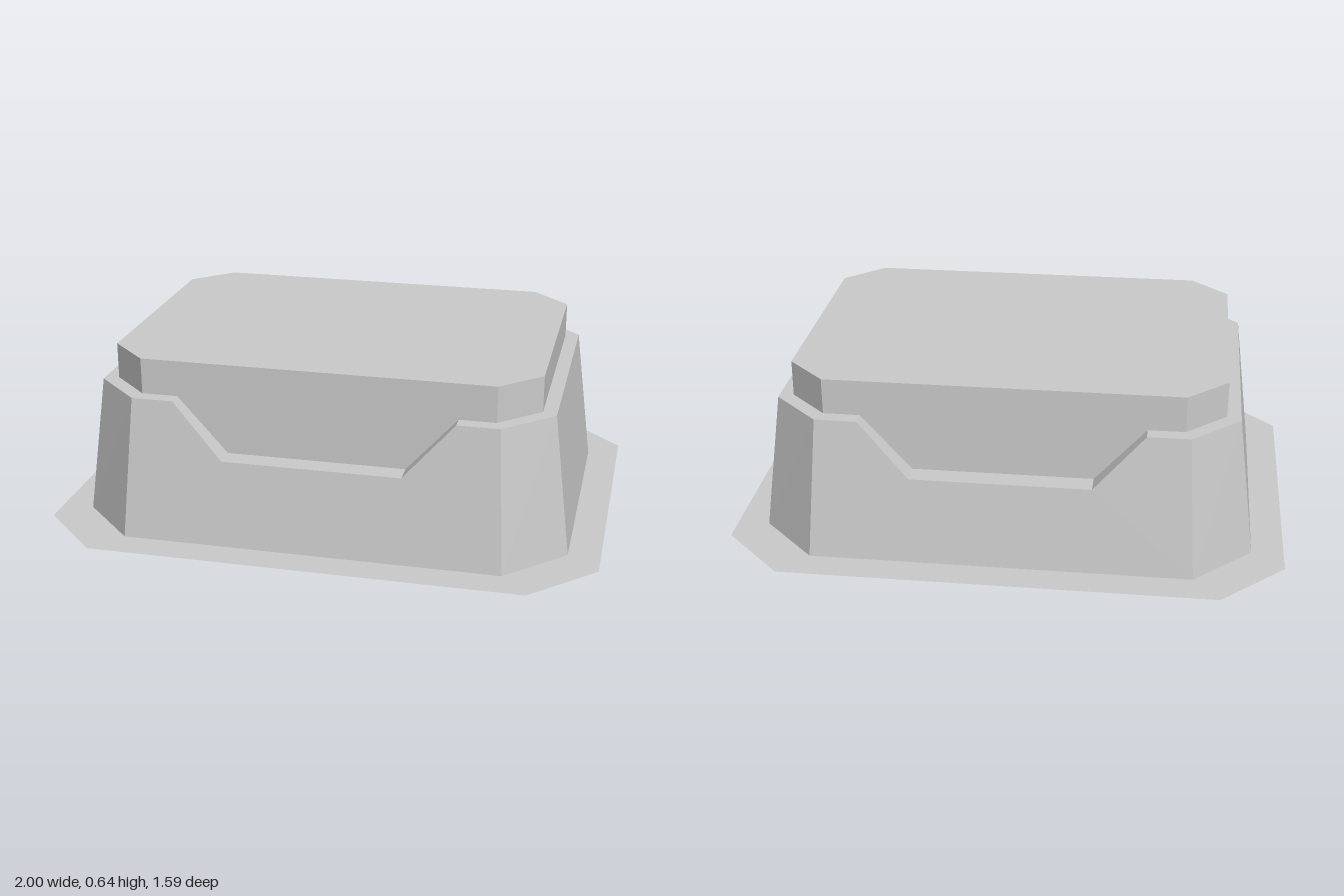
import * as THREE from 'three';

const material = new THREE.MeshStandardMaterial({ color: 0xcccccc, flatShading: true, side: THREE.DoubleSide });

// Chamfered rectangle outline: half sizes hx, hz; the chamfer runs from (cx, hz) to (hx, cz)
const octagon = ([hx, hz, cx, cz]) => [
  [cx, hz], [hx, cz], [hx, -cz], [cx, -hz], [-cx, -hz], [-hx, -cz], [-hx, cz], [-cx, hz],
];
const FLANGE = [1, 0.795, 0.775, 0.57];
const BASE = [0.885, 0.677, 0.68, 0.47];
const SHOULDER = [0.82, 0.61, 0.65, 0.445];
const BLOCK = [0.77, 0.557, 0.63, 0.42];
const SHOULDER_Y = 0.51, NOTCH_Y = 0.31, LINER_Y = 0.18, TOP_Y = 0.64;

function addMesh(group, name, geometry) {
  const mesh = new THREE.Mesh(geometry, material);
  mesh.name = name;
  group.add(mesh);
  return mesh;
}

// Flat-shaded geometry from a list of quads (corners counter-clockwise from the front)
function fromQuads(quads) {
  const points = quads.flatMap(([a, b, c, d]) => [a, b, c, a, c, d]).flat();
  const geometry = new THREE.BufferGeometry();
  geometry.setAttribute('position', new THREE.Float32BufferAttribute(points, 3));
  geometry.computeVertexNormals();
  return geometry;
}

// Side faces between two outlines at heights y0 and y1; keep selects sides by index
function band(lower, y0, upper, y1, keep = () => true) {
  const lo = octagon(lower), hi = octagon(upper), quads = [];
  lo.forEach((p, i) => {
    const j = (i + 1) % lo.length;
    if (keep(i)) quads.push([
      [p[0], y0, p[1]], [lo[j][0], y0, lo[j][1]],
      [hi[j][0], y1, hi[j][1]], [hi[i][0], y1, hi[i][1]],
    ]);
  });
  return quads;
}

// Horizontal plate with an optional hole
function plate(outline, y, hole) {
  const toPoints = (o) => octagon(o).map(([x, z]) => new THREE.Vector2(x, -z));
  const shape = new THREE.Shape(toPoints(outline));
  if (hole) shape.holes.push(new THREE.Path(toPoints(hole)));
  return new THREE.ShapeGeometry(shape).rotateX(-Math.PI / 2).translate(0, y, 0);
}

// Depth of the leaning front wall at a given height
const wallZ = (y) => BASE[1] + (SHOULDER[1] - BASE[1]) * y / SHOULDER_Y;

export function createModel() {
  const model = new THREE.Group();
  model.name = 'housing';

  // Thin flange on the ground, open in the middle
  addMesh(model, 'flange', plate(FLANGE, 0, BASE));

  // Leaning end walls and corners (front and back are notched separately)
  addMesh(model, 'sideWalls', fromQuads(band(BASE, 0, SHOULDER, SHOULDER_Y, (i) => i !== 3 && i !== 7)));

  // Front and back walls with a wide notch
  const notched = new THREE.Shape([
    [-BASE[2], 0], [BASE[2], 0], [SHOULDER[2], SHOULDER_Y], [0.5, SHOULDER_Y],
    [0.32, NOTCH_Y], [-0.32, NOTCH_Y], [-0.5, SHOULDER_Y], [-SHOULDER[2], SHOULDER_Y],
  ].map(([x, y]) => new THREE.Vector2(x, y)));
  const wall = new THREE.ShapeGeometry(notched);
  const pos = wall.attributes.position;
  for (let i = 0; i < pos.count; i++) pos.setZ(i, wallZ(pos.getY(i)));
  wall.computeVertexNormals();
  addMesh(model, 'frontWall', wall);
  addMesh(model, 'backWall', wall).rotation.y = Math.PI;

  // Deck that dips through the notches from front to back: x, y, half depth
  const half = [
    [0.32, NOTCH_Y, wallZ(NOTCH_Y)], [0.5, SHOULDER_Y, SHOULDER[1]],
    [SHOULDER[2], SHOULDER_Y, SHOULDER[1]], [SHOULDER[0], SHOULDER_Y, SHOULDER[3]],
  ];
  const stations = [...half.map(([x, y, z]) => [-x, y, z]).reverse(), ...half];
  const strips = stations.slice(1).map(([x1, y1, z1], i) => {
    const [x0, y0, z0] = stations[i];
    return [[x0, y0, z0], [x1, y1, z1], [x1, y1, -z1], [x0, y0, -z0]];
  });
  addMesh(model, 'deck', fromQuads(strips));

  // Inner liner rising from the base opening, continuing up as the raised block
  addMesh(model, 'innerLiner', fromQuads(band(BASE, 0, BLOCK, LINER_Y)));
  addMesh(model, 'blockSides', fromQuads(band(BLOCK, LINER_Y, BLOCK, TOP_Y)));
  addMesh(model, 'blockTop', plate(BLOCK, TOP_Y));

  return model;
}
